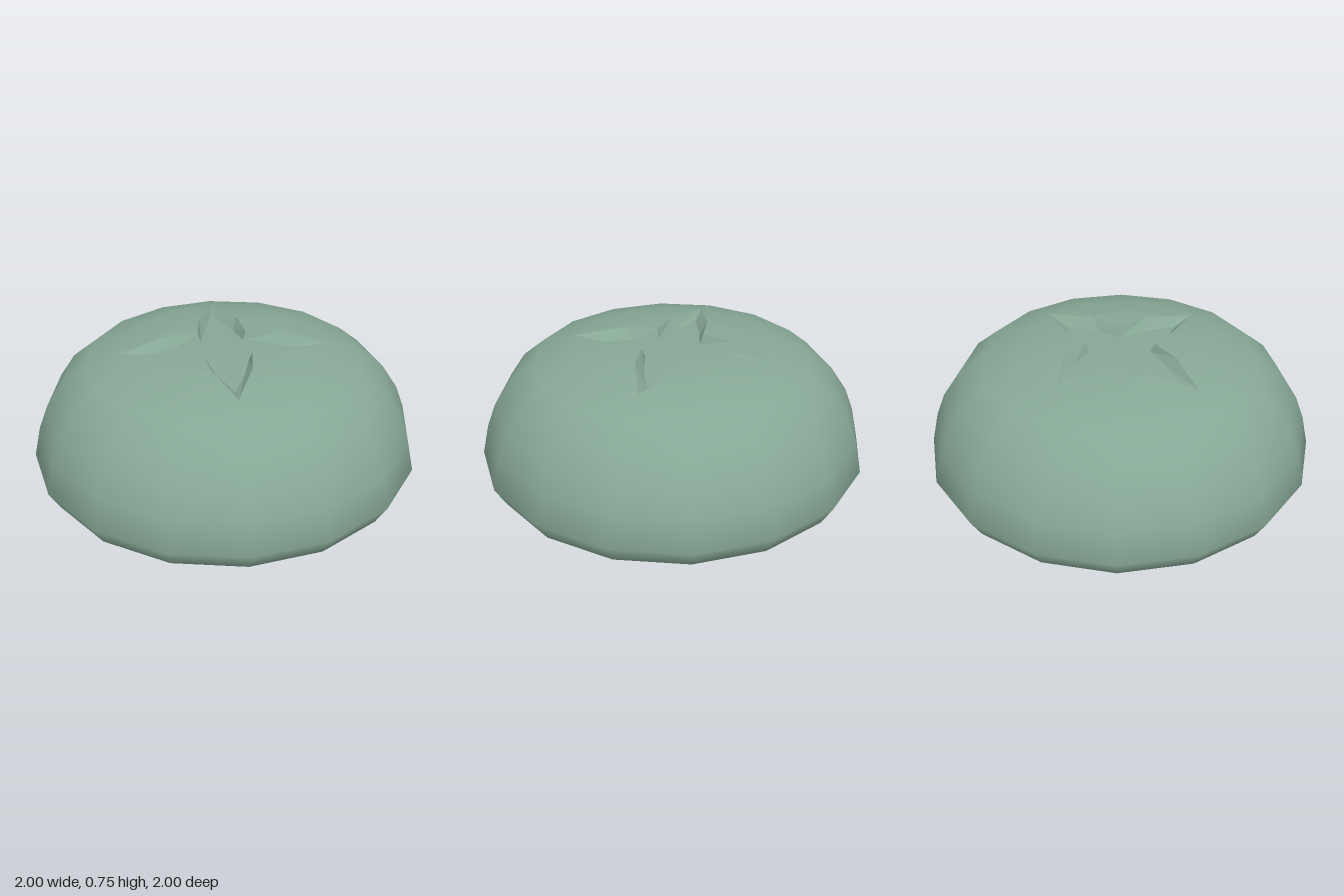
import * as THREE from 'three';
import { mergeVertices } from 'three/addons/utils/BufferGeometryUtils.js';

const SIDES = 16;

// Regular 16-sided loop of radius r at height y
function ring(r, y) {
  return Array.from({ length: SIDES }, (_, i) => {
    const a = (i / SIDES) * Math.PI * 2;
    return new THREE.Vector3(Math.cos(a) * r, y, Math.sin(a) * r);
  });
}

// Four-pointed star loop: tip, bend, inner corner, bend, repeated by quarter turns
function star(tip, bend, inner, height) {
  const quarter = [[tip, 0], [bend[0], bend[1]], [inner, inner], [bend[1], bend[0]]];
  const loop = [];
  for (let q = 0; q < 4; q++) {
    for (const [x, z] of quarter) {
      const p = new THREE.Vector3(x, height(Math.hypot(x, z)), z);
      loop.push(p.applyAxisAngle(new THREE.Vector3(0, 1, 0), -q * Math.PI / 2));
    }
  }
  return loop;
}

// Skin consecutive loops with quads; skip(row, side) leaves an opening
function loft(loops, smooth, skip = () => false) {
  const positions = loops.flat().flatMap((p) => p.toArray());
  const index = [];
  for (let j = 0; j < loops.length - 1; j++) {
    for (let i = 0; i < SIDES; i++) {
      if (skip(j, i)) continue;
      const a = j * SIDES + i, b = j * SIDES + (i + 1) % SIDES;
      index.push(a, a + SIDES, b, b, a + SIDES, b + SIDES);
    }
  }
  let g = new THREE.BufferGeometry();
  g.setAttribute('position', new THREE.Float32BufferAttribute(positions, 3));
  g.setIndex(index);
  g = smooth ? mergeVertices(g, 1e-4) : g.toNonIndexed();
  g.computeVertexNormals();
  return g;
}

export function createModel() {
  const group = new THREE.Group();
  const material = new THREE.MeshStandardMaterial({ color: 0x87a896, side: THREE.DoubleSide });
  const add = (name, geometry) => {
    const mesh = new THREE.Mesh(geometry, material);
    mesh.name = name;
    group.add(mesh);
  };

  // Domed shell, rising from the base to the rim of the star
  const profile = [
    [0.72, 0], [0.88, 0.02], [0.94, 0.05], [1, 0.15], [0.965, 0.31],
    [0.92, 0.43], [0.835, 0.56], [0.715, 0.66], [0.54, 0.71],
  ];
  const domeHeight = (r) => 0.745 - 0.035 * Math.max(0, (r - 0.34) / 0.2);
  const rim = star(0.54, [0.3, 0.1], 0.125, domeHeight);
  const crown = ring(0.34, 0.745).map((p, i) => (i % 4 === 0 ? rim[i].clone() : p));
  add('domeShell', loft([...profile.map(([r, y]) => ring(r, y)), crown, rim], true));

  // Sloping walls and floor of the star recess
  const floor = star(0.42, [0.24, 0.075], 0.11, (r) => 0.705 - 0.045 * r);
  add('starWalls', loft([rim, floor], false));
  add('starFloor', loft([floor, ring(0, 0.705)], true));

  // Flat underside with a small wedge-shaped opening towards the front left
  const base = [0, 0.18, 0.37, 0.72].map((r) => ring(r, 0));
  add('underside', loft(base, true, (j, i) => j === 1 && (i === 1 || i === 2)));

  return group;
}
